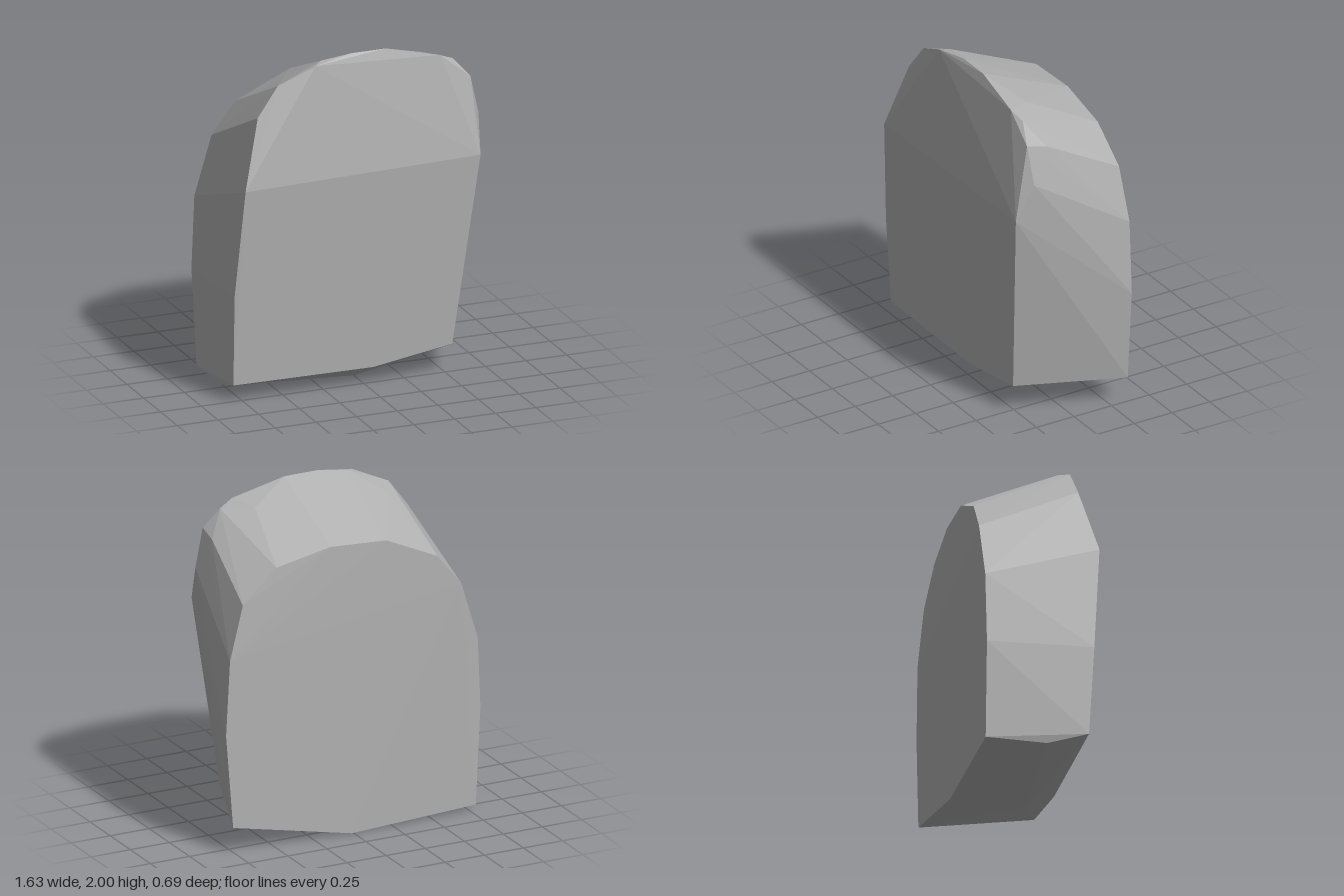
import * as THREE from 'three';
import { ConvexGeometry } from 'three/addons/geometries/ConvexGeometry.js';

export function createModel() {
  const stone = new THREE.MeshStandardMaterial({ color: 0xb0b0b0, flatShading: true });
  stone.name = 'grey stone';

  // flat back outline, from the left foot round over the top: x, y, z
  const back = [
    [0.77, 0.165, -0.345], [0.815, 0.73, -0.345], [0.79, 1.18, -0.345],
    [0.7, 1.5, -0.33], [0.48, 1.69, -0.322], [0.14, 1.76, -0.33],
    [-0.215, 1.74, -0.335], [-0.54, 1.59, -0.34], [-0.69, 1.4, -0.345],
    [-0.8, 1.05, -0.335], [-0.82, 0.62, -0.33], [-0.79, 0.03, -0.33], [0.01, 0, -0.345],
  ];
  // front face, bulging forward along a crease at y = 1.3
  const front = [
    [-0.81, 0.105, 0.27], [0.05, 0.1, 0.273], [0.535, 0.175, 0.275],
    [0.68, 1.32, 0.345], [-0.765, 1.29, 0.342], [-0.815, 0.65, 0.3],
  ];
  // rounded front rim of the top
  const rim = [
    [0.71, 1.54, 0.24], [0.655, 1.77, 0.255], [0.56, 1.88, 0.225], [0.47, 1.92, 0.25],
    [0.14, 2, 0.235], [-0.07, 2, 0.235], [-0.25, 1.975, 0.22], [-0.3, 1.96, 0.258],
    [-0.52, 1.86, 0.228], [-0.65, 1.69, 0.245],
  ];
  // chips on the shoulders and the underside
  const chips = [
    [0.66, 1.74, 0.13], [0.4, 1.9, 0.1], [-0.45, 1.845, 0.11],
    [0.01, 0, 0.1], [-0.79, 0.03, 0.03],
  ];

  const points = [...back, ...front, ...rim, ...chips].map((p) => new THREE.Vector3(...p));
  const slab = new THREE.Mesh(new ConvexGeometry(points), stone);
  slab.name = 'stoneSlab';

  const model = new THREE.Group();
  model.name = 'stone';
  model.add(slab);
  return model;
}
